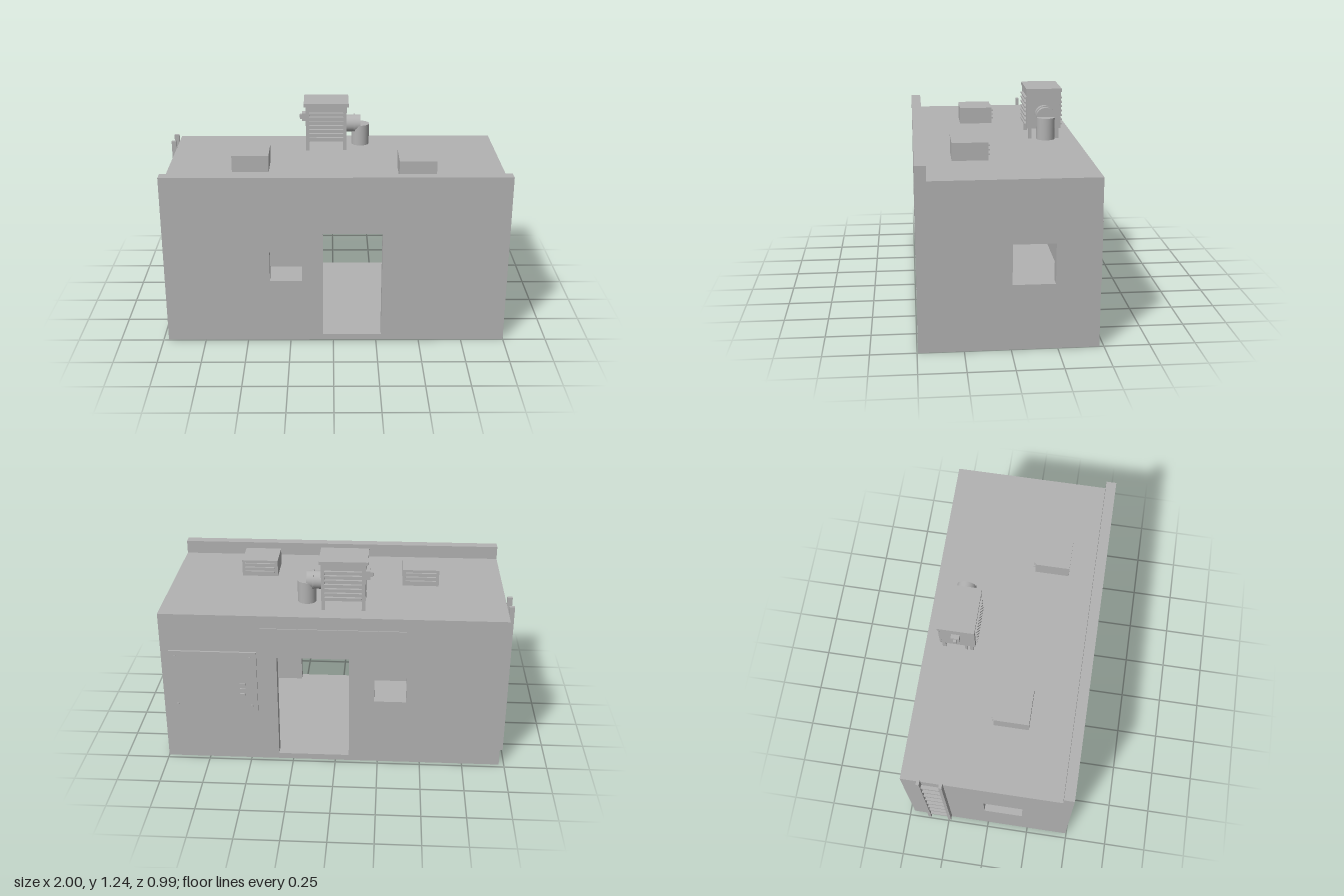
import * as THREE from 'three';

const grey = new THREE.MeshStandardMaterial({ color: 0xb2b2b2 });
grey.name = 'plain grey';

function add(parent, name, geometry) {
  const mesh = new THREE.Mesh(geometry, grey);
  mesh.name = name;
  parent.add(mesh);
  return mesh;
}

// Box given by its limits on each axis
function box(parent, name, [x0, x1], [y0, y1], [z0, z1]) {
  const g = new THREE.BoxGeometry(x1 - x0, y1 - y0, z1 - z0);
  g.translate((x0 + x1) / 2, (y0 + y1) / 2, (z0 + z1) / 2);
  return add(parent, name, g);
}

function rectangle(target, [a0, a1], [b0, b1]) {
  target.moveTo(a0, b0);
  target.lineTo(a1, b0);
  target.lineTo(a1, b1);
  target.lineTo(a0, b1);
  target.closePath();
  return target;
}

// Wall slab with rectangular openings, extruded along z
function wallGeometry(span, height, openings) {
  const shape = rectangle(new THREE.Shape(), span, [0, height]);
  for (const [a, b] of openings) shape.holes.push(rectangle(new THREE.Path(), a, b));
  return new THREE.ExtrudeGeometry(shape, { depth: WALL, bevelEnabled: false });
}

const WALL = 0.06;
const X = [-0.97, 1], Z = [-0.475, 0.495];
const ROOF = 0.94, FLOOR = 0.035;

function buildShell() {
  const shell = new THREE.Group();
  shell.name = 'building';
  const inX = [X[0] + WALL, X[1] - WALL], inZ = [Z[0] + WALL, Z[1] - WALL];

  // Front wall rises above the roof as a parapet
  add(shell, 'frontWall', wallGeometry(X, 1.02, [
    [[-0.06, 0.28], [FLOOR, 0.68]],
    [[-0.365, -0.18], [0.385, 0.565]],
  ]).translate(0, 0, inZ[1]));
  add(shell, 'backWall', wallGeometry(X, ROOF, [
    [[-0.08, 0.335], [FLOOR, 0.68]],
    [[-0.41, -0.225], [0.41, 0.567]],
  ]).translate(0, 0, Z[0]));

  // Side walls: the shape's x axis becomes z
  add(shell, 'leftWall', wallGeometry(inZ, ROOF, [[[-0.235, -0.006], [0.367, 0.59]]])
    .rotateY(-Math.PI / 2).translate(X[1], 0, 0));
  add(shell, 'rightWall', wallGeometry(inZ, ROOF, [[[-0.016, 0.213], [0.367, 0.585]]])
    .rotateY(-Math.PI / 2).translate(inX[0], 0, 0));

  box(shell, 'floor', inX, [0, FLOOR], inZ);
  box(shell, 'roof', inX, [ROOF - WALL, ROOF], inZ);
  return shell;
}

// Roof vent with three slats on its back
function buildVent(x0, z0) {
  const vent = new THREE.Group();
  vent.name = 'roofVent';
  box(vent, 'ventBox', [x0, x0 + 0.215], [ROOF, 1.04], [z0, z0 + 0.2]);
  for (const y of [0.97, 0.995, 1.02]) {
    box(vent, 'ventSlat', [x0 + 0.018, x0 + 0.197], [y - 0.004, y + 0.004], [z0 - 0.012, z0]);
  }
  return vent;
}

function buildCooler() {
  const cooler = new THREE.Group();
  cooler.name = 'airCooler';
  box(cooler, 'coolerBody', [-0.165, 0.083], [1, 1.22], [-0.38, -0.187]);
  box(cooler, 'coolerLid', [-0.178, 0.096], [1.22, 1.24], [-0.388, -0.178]);

  // Legs and corner posts
  for (const x of [-0.155, 0.073]) {
    for (const z of [-0.364, -0.203]) {
      box(cooler, 'coolerLeg', [x - 0.01, x + 0.01], [ROOF, 1], [z - 0.01, z + 0.01]);
    }
    for (const z of [-0.381, -0.186]) {
      box(cooler, 'cornerPost', [x - 0.011, x + 0.011], [1, 1.22], [z - 0.005, z + 0.005]);
    }
  }

  // Louvres on front and back
  for (let i = 0; i < 7; i++) {
    const y = 1.022 + i * 0.0263;
    for (const z of [-0.387, -0.18]) {
      box(cooler, 'louvre', [-0.145, 0.065], [y - 0.0045, y + 0.0045], [z - 0.009, z + 0.009]);
    }
  }

  // Switch box and its conduit
  box(cooler, 'switchBox', [-0.19, -0.165], [1.105, 1.155], [-0.313, -0.265]);
  box(cooler, 'switchKnob', [-0.205, -0.19], [1.115, 1.145], [-0.298, -0.28]);
  box(cooler, 'conduit', [-0.165, -0.152], [ROOF, 1], [-0.242, -0.228]);

  // Duct turning down at its end
  const duct = (name, radius, x0, x1) => add(cooler, name,
    new THREE.CylinderGeometry(radius, radius, x1 - x0, 32)
      .rotateZ(Math.PI / 2).translate((x0 + x1) / 2, 1.088, -0.283));
  duct('duct', 0.053, 0.08, 0.17);
  duct('ductRing', 0.058, 0.128, 0.138);
  add(cooler, 'ductOutlet', new THREE.CylinderGeometry(0.054, 0.054, 0.128, 32)
    .translate(0.17, 1.022, -0.283));
  return cooler;
}

function buildLadder() {
  const ladder = new THREE.Group();
  ladder.name = 'ladder';
  for (const z of [-0.368, -0.242]) {
    box(ladder, 'ladderRail', [-1, -0.97], [0.04, 0.985], [z - 0.009, z + 0.009]);
  }
  for (let i = 0; i < 8; i++) {
    const y = 0.125 + i * 0.107;
    box(ladder, 'ladderRung', [-0.995, -0.975], [y - 0.009, y + 0.009], [-0.36, -0.25]);
  }
  return ladder;
}

function buildBackFittings() {
  const fittings = new THREE.Group();
  fittings.name = 'backFittings';
  box(fittings, 'signBoard', [-0.4, 0.425], [0.73, 0.865], [-0.481, Z[0]]);
  box(fittings, 'panel', [0.45, 0.953], [0.333, 0.713], [-0.487, Z[0]]);
  // Bolts at the corners
  for (const x of [0.485, 0.918]) {
    for (const y of [0.365, 0.68]) {
      add(fittings, 'bolt', new THREE.CylinderGeometry(0.008, 0.008, 0.008, 12)
        .rotateX(Math.PI / 2).translate(x, y, -0.49));
    }
  }
  for (const y of [0.442, 0.475, 0.508]) {
    box(fittings, 'panelButton', [0.518, 0.55], [y - 0.006, y + 0.006], [-0.495, -0.487]);
  }
  return fittings;
}

export function createModel() {
  const model = new THREE.Group();
  model.name = 'flatRoofedHut';
  model.add(
    buildShell(),
    buildVent(-0.59, -0.01),
    buildVent(0.38, 0.088),
    buildCooler(),
    buildLadder(),
    buildBackFittings(),
  );
  return model;
}
